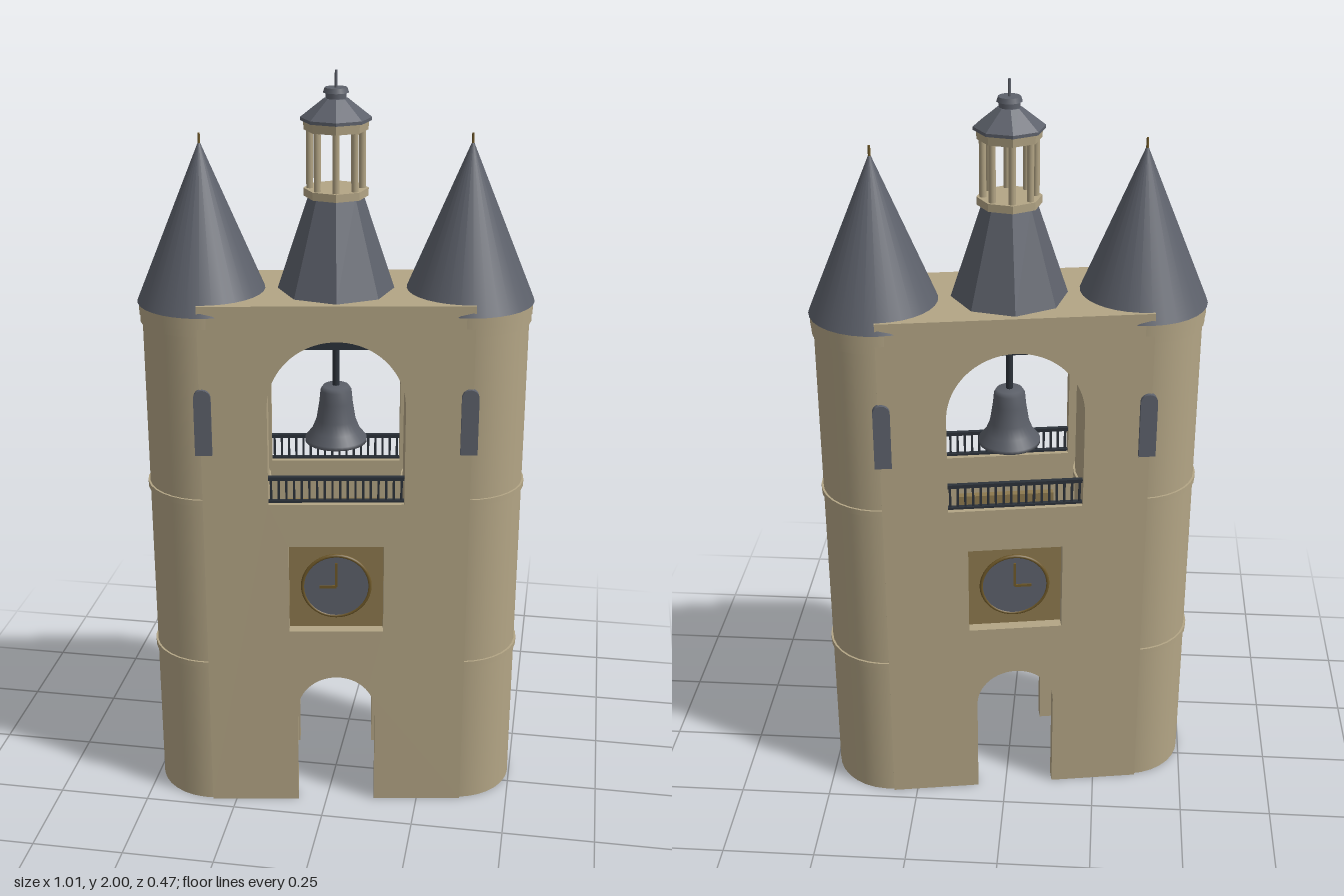
import * as THREE from 'three';

const mat = (name, color, extra = {}) => {
  const m = new THREE.MeshStandardMaterial({ color, ...extra });
  m.name = name;
  return m;
};

export function createModel() {
  const stone = mat('stone', 0xb3a585);
  const slate = mat('slate', 0x5d616b);
  const iron = mat('dark iron', 0x2c323a);
  const wood = mat('clock board', 0x8d794e);
  const brass = mat('brass', 0x6e5828);

  const model = new THREE.Group();
  model.name = 'bellGate';
  const body = new THREE.Group();
  body.name = 'building';
  body.rotation.y = 0.165; // the gate stands slightly turned
  model.add(body);

  const add = (parent, name, geo, material, x = 0, y = 0, z = 0) => {
    const m = new THREE.Mesh(geo, material);
    m.name = name;
    m.position.set(x, y, z);
    parent.add(m);
    return m;
  };
  const box = (p, name, w, h, d, m, x, y, z) => add(p, name, new THREE.BoxGeometry(w, h, d), m, x, y, z);
  // upright round part between two heights
  const round = (p, name, r0, r1, y0, y1, m, x = 0, z = 0, n = 32) => {
    let g = new THREE.CylinderGeometry(r1, r0, y1 - y0, n);
    if (n === 8) { g = g.toNonIndexed(); g.computeVertexNormals(); }
    return add(p, name, g, m, x, (y0 + y1) / 2, z);
  };
  // round-headed outline
  const arch = (path, w, y0, spring) => {
    path.moveTo(-w, y0);
    path.lineTo(w, y0);
    path.lineTo(w, spring);
    path.absarc(0, spring, w, 0, Math.PI, false);
    path.lineTo(-w, y0);
    return path;
  };

  const HALF = 0.348, FACE = 0.166, T = 0.035, TX = 0.34;
  const BELL_W = 0.177, DOOR_W = 0.106;

  // wall panel with door, clock recess and bell opening
  const wall = new THREE.Shape();
  wall.moveTo(-HALF, 0);
  wall.lineTo(-DOOR_W, 0);
  wall.lineTo(-DOOR_W, 0.288);
  wall.absarc(0, 0.288, DOOR_W, Math.PI, 0, true);
  wall.lineTo(DOOR_W, 0);
  wall.lineTo(HALF, 0);
  wall.lineTo(HALF, 1.45);
  wall.lineTo(-HALF, 1.45);
  wall.closePath();
  const recess = new THREE.Path();
  recess.setFromPoints([[-0.126, 0.537], [0.126, 0.537], [0.126, 0.79], [-0.126, 0.79]]
    .map(([x, y]) => new THREE.Vector2(x, y)));
  recess.closePath();
  wall.holes.push(arch(new THREE.Path(), BELL_W, 0.912, 1.18), recess);
  const wallGeo = new THREE.ExtrudeGeometry(wall, { depth: T, bevelEnabled: false, curveSegments: 20 });
  const slitGeo = new THREE.ExtrudeGeometry(arch(new THREE.Shape(), 0.022, 1.055, 1.21),
    { depth: 0.02, bevelEnabled: false, curveSegments: 8 });

  // front and back facades
  for (const s of [1, -1]) {
    const f = new THREE.Group();
    f.name = s > 0 ? 'frontFacade' : 'backFacade';
    if (s < 0) f.rotation.y = Math.PI;
    body.add(f);
    add(f, 'wallPanel', wallGeo, stone, 0, 0, FACE - T);
    for (const x of [-TX, TX]) add(f, 'slitWindow', slitGeo, slate, x, 0, 0.156);

    // railing
    const rz = FACE - T / 2;
    box(f, 'handrail', BELL_W * 2, 0.01, 0.012, iron, 0, 0.98, rz);
    box(f, 'bottomRail', BELL_W * 2, 0.006, 0.012, iron, 0, 0.916, rz);
    for (let i = 0; i < 18; i++) {
      box(f, 'baluster', 0.006, 0.066, 0.006, iron, -0.17 + i * 0.02, 0.945, rz);
    }

    // clock; the hands mirror between the two faces
    const cy = 0.662;
    box(f, 'clockBoard', 0.27, 0.27, 0.025, wood, 0, 0.6635, 0.1235);
    const dial = add(f, 'clockDial', new THREE.CylinderGeometry(0.09, 0.09, 0.008, 40), slate, 0, cy, 0.14);
    dial.rotation.x = Math.PI / 2;
    add(f, 'clockRim', new THREE.TorusGeometry(0.09, 0.005, 8, 40), brass, 0, cy, 0.141);
    box(f, 'minuteHand', 0.007, 0.07, 0.004, brass, 0, cy + 0.035, 0.146);
    box(f, 'hourHand', 0.045, 0.007, 0.004, brass, -s * 0.0225, cy, 0.146);
  }
  box(body, 'roofSlab', HALF * 2, 0.03, (FACE - T) * 2, stone, 0, 1.435, 0);

  // round side towers
  for (const s of [1, -1]) {
    const t = new THREE.Group();
    t.name = s > 0 ? 'leftTower' : 'rightTower';
    t.position.x = s * TX;
    body.add(t);
    round(t, 'towerShaft', 0.16, 0.16, 0, 1.42, stone);
    for (const y of [0.425, 0.908]) round(t, 'stringCourse', 0.1655, 0.1655, y, y + 0.016, stone);
    round(t, 'lowerCornice', 0.1655, 0.1655, 1.37, 1.39, stone);
    round(t, 'upperCornice', 0.1675, 0.1675, 1.39, 1.42, stone);
    add(t, 'towerRoof', new THREE.ConeGeometry(0.171, 0.41, 32), slate, 0, 1.625, 0);
    round(t, 'towerFinial', 0.004, 0.003, 1.8, 1.847, brass, 0, 0, 12);
  }

  // central roof and lantern
  const lantern = new THREE.Group();
  lantern.name = 'lantern';
  body.add(lantern);
  round(lantern, 'centralRoof', 0.15, 0.068, 1.45, 1.695, slate, 0, 0, 8);
  round(lantern, 'lanternFloor', 0.082, 0.082, 1.69, 1.71, stone, 0, 0, 8);
  for (let i = 0; i < 8; i++) {
    const a = i * Math.PI / 4;
    round(lantern, 'lanternColumn', 0.009, 0.009, 1.71, 1.86, stone, 0.066 * Math.sin(a), 0.066 * Math.cos(a), 10);
  }
  round(lantern, 'lanternCornice', 0.08, 0.082, 1.855, 1.878, stone, 0, 0, 8);
  round(lantern, 'lanternEaves', 0.089, 0.089, 1.878, 1.886, slate, 0, 0, 8);
  round(lantern, 'lanternRoof', 0.089, 0.03, 1.886, 1.932, slate, 0, 0, 8);
  round(lantern, 'topDrum', 0.026, 0.026, 1.93, 1.948, slate, 0, 0, 16);
  round(lantern, 'topCap', 0.032, 0.028, 1.946, 1.958, slate, 0, 0, 16);
  round(lantern, 'topFinial', 0.004, 0.003, 1.955, 2.0, slate, 0, 0, 12);

  // bell hung from its beam
  const bell = new THREE.Group();
  bell.name = 'bellAssembly';
  body.add(bell);
  box(bell, 'bellBeam', 0.39, 0.022, 0.05, iron, 0, 1.3, 0);
  round(bell, 'bellRod', 0.009, 0.009, 1.17, 1.3, iron, 0, 0, 12);
  const profile = [[0, 1.185], [0.034, 1.183], [0.041, 1.172], [0.044, 1.14], [0.052, 1.09],
    [0.064, 1.06], [0.082, 1.038], [0.082, 1.028], [0.074, 1.028], [0.05, 1.07], [0.036, 1.15], [0, 1.165]]
    .map(([x, y]) => new THREE.Vector2(x, y)).reverse();
  add(bell, 'bell', new THREE.LatheGeometry(profile, 32), mat('bell metal', 0x5a5e67, { side: THREE.DoubleSide }));
  round(bell, 'clapperRod', 0.004, 0.004, 1.02, 1.17, iron, 0, 0, 10);
  add(bell, 'clapper', new THREE.SphereGeometry(0.011, 12, 8), iron, 0, 1.023, 0);

  return model;
}
